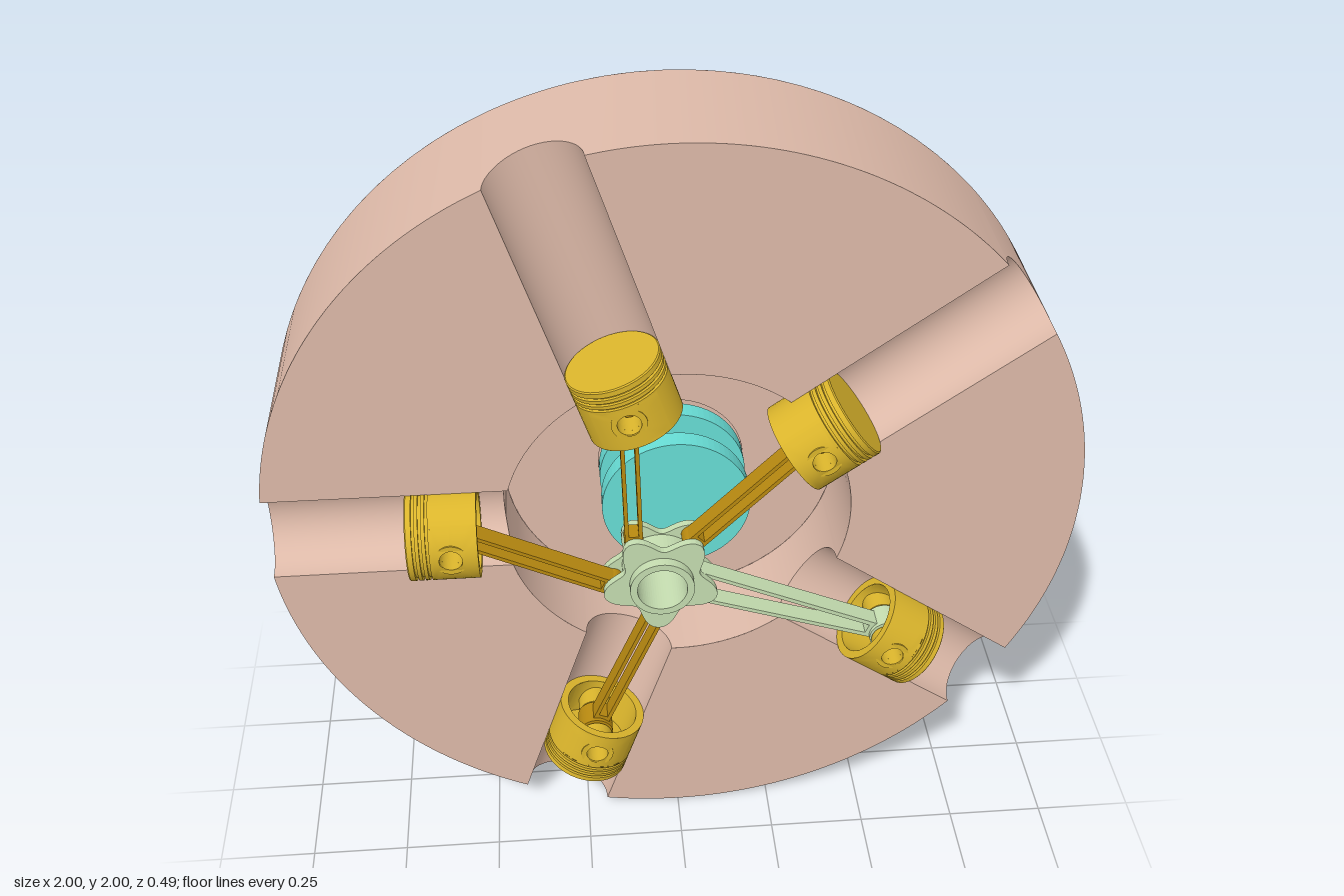
import * as THREE from 'three';

const mat = (color) => new THREE.MeshStandardMaterial({ color, side: THREE.DoubleSide });
const M = { block: mat(0xdebaa9), gold: mat(0xdcb62c), rod: mat(0xb98a10), crank: mat(0x68ded6), master: mat(0xc5ddb0) };

const ZC = 0.13;            // plane of the cylinder axes and the block's front face
const BACK = -0.245, FLOOR = -0.12, RECESS = -0.17;
const R = 1, POCKET = 0.425, BORE = 0.115;
const ANGLES = [36, 108, 180, 252, 324].map(THREE.MathUtils.degToRad);
const HUB = new THREE.Vector2(-0.045, -0.16); // crank pin, from the disc centre

function add(parent, name, geometry, material) {
  const mesh = new THREE.Mesh(geometry, material);
  mesh.name = name;
  parent.add(mesh);
  return mesh;
}

// Surface of (nu x nv) quads whose corners come from fn(i, j) -> [x, y, z]
function grid(nu, nv, fn) {
  const pos = [], index = [];
  for (let j = 0; j <= nv; j++) for (let i = 0; i <= nu; i++) pos.push(...fn(i, j));
  for (let j = 0; j < nv; j++) for (let i = 0; i < nu; i++) {
    const a = j * (nu + 1) + i, b = a + nu + 1;
    index.push(a, a + 1, b + 1, a, b + 1, b);
  }
  const g = new THREE.BufferGeometry();
  g.setAttribute('position', new THREE.Float32BufferAttribute(pos, 3));
  g.setIndex(index);
  g.computeVertexNormals();
  return g;
}

// Plate cut from a shape, centred on z = 0
function plate(shape, depth) {
  return new THREE.ExtrudeGeometry(shape, { depth, bevelEnabled: false, curveSegments: 32 }).translate(0, 0, -depth / 2);
}

function ring(outer, inner, depth) {
  const s = new THREE.Shape().absarc(0, 0, outer, 0, Math.PI * 2);
  s.holes.push(new THREE.Path().absarc(0, 0, inner, 0, Math.PI * 2, true));
  return plate(s, depth);
}

// Round wall whose front edge is notched by the five bores
function notchedWall(radius, zBase) {
  const points = [], half = Math.asin(BORE / radius), step = Math.PI * 0.4;
  for (const a of ANGLES) {
    for (let k = 0; k <= 24; k++) {
      const p = (Math.PI * k) / 24;
      points.push([a + Math.asin((-BORE * Math.cos(p)) / radius), ZC - BORE * Math.sin(p)]);
    }
    for (let k = 1; k < 16; k++) points.push([a + half + ((step - 2 * half) * k) / 16, ZC]);
  }
  points.push([points[0][0] + Math.PI * 2, ZC]);
  return grid(points.length - 1, 1, (i, j) => {
    const [t, z] = points[i];
    return [radius * Math.cos(t), radius * Math.sin(t), j ? z : zBase];
  });
}

function buildBlock() {
  const g = new THREE.Group();
  g.name = 'cylinderBlock';
  add(g, 'outerRim', notchedWall(R, BACK), M.block);
  add(g, 'pocketWall', notchedWall(POCKET, FLOOR), M.block);
  add(g, 'backFace', new THREE.CircleGeometry(R, 120).rotateY(Math.PI).translate(0, 0, BACK), M.block);
  add(g, 'pocketFloor', new THREE.RingGeometry(0.185, POCKET, 64).translate(0, 0, FLOOR), M.block);
  add(g, 'bearingRecess', new THREE.CylinderGeometry(0.185, 0.185, FLOOR - RECESS, 64, 1, true)
    .rotateX(Math.PI / 2).translate(0, 0, (FLOOR + RECESS) / 2), M.block);
  add(g, 'recessFloor', new THREE.CircleGeometry(0.185, 64).translate(0, 0, RECESS), M.block);
  const outer = Math.asin(BORE / R), inner = Math.asin(BORE / POCKET), step = Math.PI * 0.4;
  for (const a of ANGLES) {
    // front face between two bores
    const s = new THREE.Shape().absarc(0, 0, R, outer, step - outer);
    s.absarc(0, 0, POCKET, step - inner, inner, true);
    add(g, 'frontFace', new THREE.ShapeGeometry(s, 32).rotateZ(a).translate(0, 0, ZC), M.block);
    // half-round bore running from the pocket to the rim
    add(g, 'cylinderBore', grid(24, 1, (i, j) => {
      const p = (Math.PI * i) / 24, v = -BORE * Math.cos(p), rad = j ? R : POCKET;
      return [Math.sqrt(rad * rad - v * v), v, ZC - BORE * Math.sin(p)];
    }).rotateZ(a), M.block);
  }
  return g;
}

// Piston: crown towards +y, pin along z at the origin
function buildPiston() {
  const g = new THREE.Group();
  g.name = 'piston';
  const top = 0.105, mid = 0.045, low = -0.065, hole = 0.028, wall = 0.094;
  const crown = [[BORE, mid]];
  for (const y of [0.05, 0.066, 0.082]) {
    crown.push([BORE, y], [BORE - 0.008, y], [BORE - 0.008, y + 0.007], [BORE, y + 0.007]);
  }
  crown.push([BORE, top - 0.003], [BORE - 0.003, top], [0, top]);
  crown.slice(1).forEach((p, i) => add(g, 'crown',
    new THREE.LatheGeometry([crown[i], p].map((q) => new THREE.Vector2(...q)), 48), M.gold));
  add(g, 'crownUnderside', new THREE.CircleGeometry(wall, 48).rotateX(Math.PI / 2).translate(0, mid, 0), M.gold);
  add(g, 'skirtEdge', new THREE.RingGeometry(wall, BORE, 48).rotateX(Math.PI / 2).translate(0, low, 0), M.gold);
  for (const r of [BORE, wall]) {
    for (const side of [0, Math.PI]) {
      // quarter of the skirt pierced by the pin hole
      add(g, 'piercedSkirt', grid(32, 4, (i, j) => {
        const t = (i / 32) * Math.PI * 2, c = Math.cos(t), s = Math.sin(t), k = j / 4;
        const m = Math.max(Math.abs(c), Math.abs(s));
        const a = THREE.MathUtils.lerp(Math.asin((hole * c) / r), ((c / m) * Math.PI) / 4, k);
        const y = THREE.MathUtils.lerp(hole * s, (s / m) * (s > 0 ? mid : -low), k);
        return [r * Math.sin(a), y, r * Math.cos(a)];
      }).rotateY(side), M.gold);
      add(g, 'skirt', new THREE.CylinderGeometry(r, r, mid - low, 12, 1, true, side + Math.PI / 4, Math.PI / 2)
        .translate(0, (mid + low) / 2, 0), M.gold);
    }
  }
  for (const z of [0.076, -0.076]) add(g, 'pinBoss', ring(0.042, hole, 0.07).translate(0, 0, z), M.gold);
  return g;
}

// Slotted rod from the origin along +x, with an eye at the far end
function addRod(g, length, start, w0, w1, rail, material) {
  const end = length - 0.035, s = new THREE.Shape();
  s.moveTo(start, -w0).lineTo(end, -w1).lineTo(end, w1).lineTo(start, w0).closePath();
  const a = start + 0.02, b = end - 0.02, slot = new THREE.Path();
  slot.moveTo(a, rail - w0).lineTo(a, w0 - rail).lineTo(b, w1 - rail).lineTo(b, rail - w1).closePath();
  s.holes.push(slot);
  add(g, 'rodBeam', plate(s, 0.05), material);
  add(g, 'smallEnd', ring(0.045, 0.028, 0.07).translate(length, 0, 0), material);
}

// Web or disc of the crank, with the clearance for the hollow pin cut away
function crankDisc(radius, depth) {
  const d = HUB.length(), bite = 0.07, dir = HUB.angle();
  const x = (d * d + radius * radius - bite * bite) / (2 * d), y = Math.sqrt(radius * radius - x * x);
  const a = Math.atan2(y, x), b = Math.atan2(y, x - d);
  const s = new THREE.Shape().absarc(0, 0, radius, a, Math.PI * 2 - a);
  s.absarc(d, 0, bite, Math.PI * 2 - b, b, true);
  return plate(s, depth).rotateZ(dir);
}

export function createModel() {
  const model = new THREE.Group();
  model.name = 'radialEngine';
  const engine = new THREE.Group();
  engine.name = 'engine';
  engine.position.y = 1;
  model.add(engine);
  engine.add(buildBlock());

  // crankshaft
  const crank = new THREE.Group();
  crank.name = 'crankshaft';
  engine.add(crank);
  add(crank, 'frontWeb', crankDisc(0.184, 0.05).translate(0, 0, 0.045), M.crank);
  add(crank, 'rearWeb', crankDisc(0.184, 0.05).translate(0, 0, -0.08), M.crank);
  add(crank, 'shaft', new THREE.CylinderGeometry(0.09, 0.09, 0.23, 40).rotateX(Math.PI / 2).translate(0, 0, -0.055), M.crank);

  // pistons at their present stroke: 36, 108, 180, 252 and 324 degrees
  const stroke = [0.408, 0.389, 0.55, 0.72, 0.667];
  const pins = ANGLES.map((a, i) => new THREE.Vector2(Math.cos(a), Math.sin(a)).multiplyScalar(stroke[i]));
  pins.forEach((p, i) => {
    const piston = buildPiston();
    piston.position.set(p.x, p.y, ZC);
    piston.rotation.z = ANGLES[i] - Math.PI / 2;
    engine.add(piston);
  });

  // master rod with its five-lobed hub
  const toMaster = pins[4].clone().sub(HUB), turn = toMaster.angle();
  const master = new THREE.Group();
  master.name = 'masterRod';
  master.position.set(HUB.x, HUB.y, ZC);
  master.rotation.z = turn;
  engine.add(master);
  const lobes = [];
  for (let k = 0; k < 80; k++) {
    const t = (k / 80) * Math.PI * 2, r = 0.123 + 0.025 * Math.cos(5 * t);
    lobes.push(new THREE.Vector2(r * Math.cos(t), r * Math.sin(t)));
  }
  const star = new THREE.Shape(lobes);
  star.holes.push(new THREE.Path().absarc(0, 0, 0.062, 0, Math.PI * 2, true));
  for (const z of [0.037, -0.037]) add(master, 'hubPlate', plate(star, 0.02).translate(0, 0, z), M.master);
  add(master, 'hubCore', ring(0.095, 0.062, 0.07), M.master);
  add(master, 'hubCollar', ring(0.08, 0.062, 0.146), M.master);
  addRod(master, toMaster.length(), 0.09, 0.045, 0.024, 0.011, M.master);

  // four link rods hinged on the hub lobes
  for (let k = 0; k < 4; k++) {
    const t = turn + (k + 1) * Math.PI * 0.4;
    const knuckle = new THREE.Vector2(Math.cos(t), Math.sin(t)).multiplyScalar(0.122).add(HUB);
    const d = pins[k].clone().sub(knuckle);
    const rod = new THREE.Group();
    rod.name = 'linkRod';
    rod.position.set(knuckle.x, knuckle.y, ZC);
    rod.rotation.z = d.angle();
    engine.add(rod);
    addRod(rod, d.length(), 0.01, 0.022, 0.022, 0.01, M.rod);
    add(rod, 'knuckleEye', ring(0.024, 0.01, 0.052), M.rod);
  }
  return model;
}
